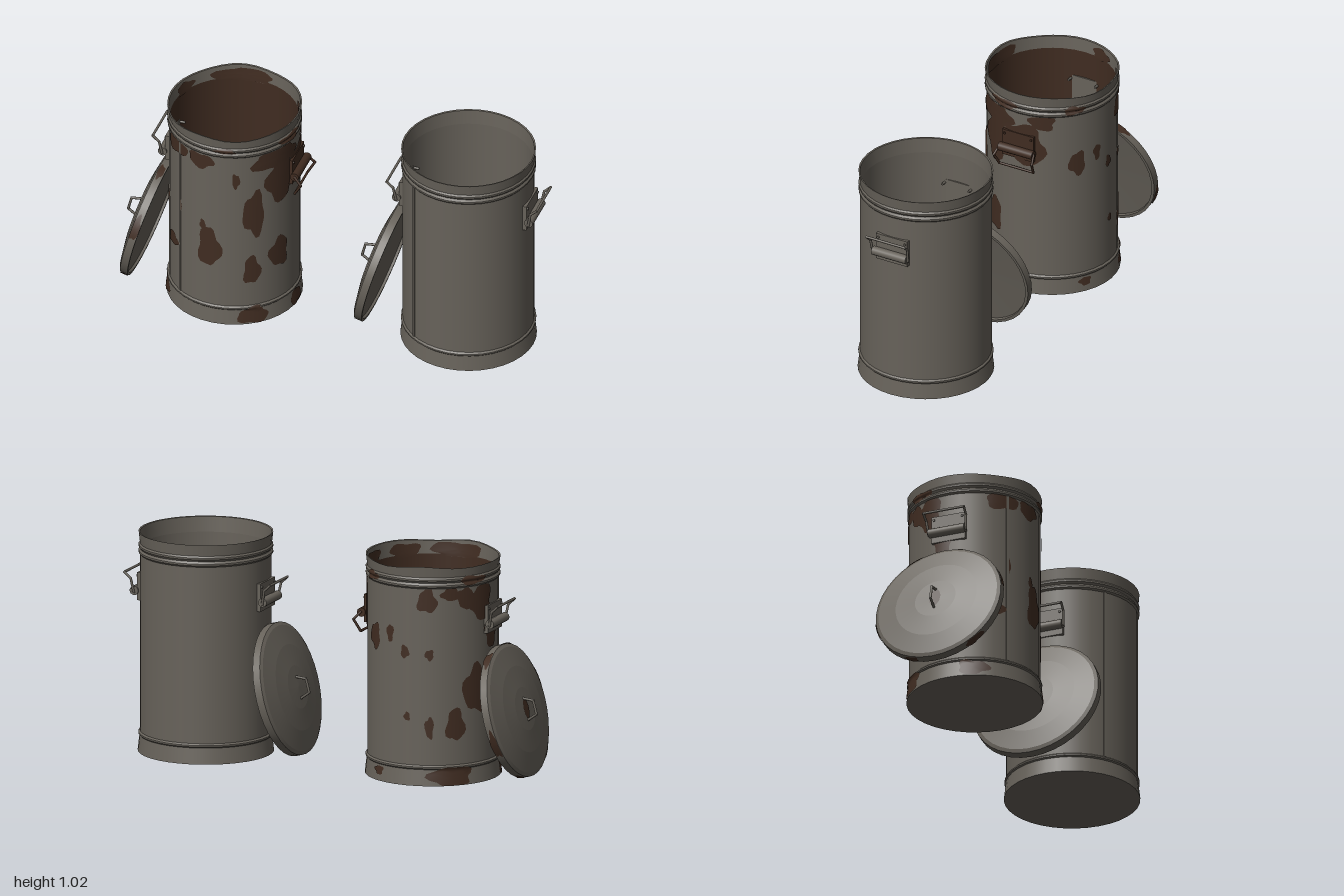
import * as THREE from 'three';

const steel = new THREE.MeshStandardMaterial({ color: 0x67625a, side: THREE.DoubleSide });
steel.name = 'dull steel';
const rust = new THREE.MeshStandardMaterial({ color: 0x402c21, side: THREE.DoubleSide });
rust.name = 'dark rust';

const UP = new THREE.Vector3(0, 1, 0);
const rad = THREE.MathUtils.degToRad;
const SIDES = 36;

// Outer silhouette of the can as [radius, height]
const OUTER = [[0.311, 0], [0.302, 0.075], [0.308, 0.081], [0.308, 0.088], [0.3, 0.095], [0.3, 0.918],
  [0.307, 0.926], [0.307, 0.934], [0.3, 0.944], [0.307, 0.954], [0.307, 0.962], [0.301, 0.97], [0.307, 1.022]];
const LID = [[0.308, 0], [0.308, 0.036], [0.292, 0.044], [0.2, 0.062], [0.1, 0.073], [0, 0.077]];

function add(parent, name, geometry, material) {
  const mesh = new THREE.Mesh(geometry, material);
  mesh.name = name;
  parent.add(mesh);
  return mesh;
}

// Each profile segment is its own lathe ring so that beads and rims stay crisp
function turned(parent, name, profile, material, warp) {
  const group = new THREE.Group();
  group.name = name;
  parent.add(group);
  for (let i = 0; i < profile.length - 1; i++) {
    const pts = [profile[i], profile[i + 1]].map(p => new THREE.Vector2(p[0], p[1]));
    const geometry = new THREE.LatheGeometry(pts, SIDES);
    if (warp) {
      const p = geometry.attributes.position;
      for (let k = 0; k < p.count; k++) p.setY(k, warp(p.getX(k), p.getY(k)));
    }
    add(group, name + 'Ring', geometry, material);
  }
  return group;
}

function radiusAt(profile, y) {
  for (let i = 0; i < profile.length - 1; i++) {
    const [r0, y0] = profile[i], [r1, y1] = profile[i + 1];
    if (y <= y1) return r0 + (r1 - r0) * Math.max(0, (y - y0) / (y1 - y0));
  }
  return profile[profile.length - 1][0];
}

// Ragged rust blot wrapped round a turned surface: angle from the front, height, width, tall
function blot(parent, [deg, y, w, h], radius, low, high) {
  const rings = 5, n = 22, pos = [0, 0], index = [];
  pos.length = 0;
  const place = (u, v) => {
    const yy = THREE.MathUtils.clamp(y + v, low, high), r = radius(yy);
    const a = rad(deg) + u / 0.3;
    pos.push(r * Math.sin(a), yy, r * Math.cos(a));
  };
  place(0, 0);
  for (let k = 1; k <= rings; k++) {
    for (let i = 0; i < n; i++) {
      const t = i / n * Math.PI * 2;
      const wob = 1 + 0.14 * Math.sin(3 * t + deg) + 0.1 * Math.sin(5 * t + deg * 2 + y * 9);
      const s = k / rings * wob / 2;
      place(Math.cos(t) * w * s, Math.sin(t) * h * s);
      const j = (i + 1) % n, b = 1 + (k - 1) * n, c = b - n;
      if (k === 1) index.push(0, b + i, b + j);
      else index.push(c + i, b + i, b + j, c + i, b + j, c + j);
    }
  }
  const geometry = new THREE.BufferGeometry();
  geometry.setAttribute('position', new THREE.Float32BufferAttribute(pos, 3));
  geometry.setIndex(index);
  geometry.computeVertexNormals();
  add(parent, 'rustBlot', geometry, rust);
}

// Bent wire made of straight rods
function wire(parent, name, points, r, material) {
  const v = points.map(p => new THREE.Vector3(...p));
  for (let i = 0; i < v.length - 1; i++) {
    const d = v[i + 1].clone().sub(v[i]);
    const rod = add(parent, name, new THREE.CylinderGeometry(r, r, d.length() + r, 8), material);
    rod.position.copy(v[i]).addScaledVector(d, 0.5);
    rod.quaternion.setFromUnitVectors(UP, d.normalize());
  }
}

// Side handle: wall plate, rolled hinge and wire bail, raised or hanging
function sideHandle(parent, side, hanging, material) {
  const g = new THREE.Group();
  g.name = side > 0 ? 'leftHandle' : 'rightHandle';
  g.rotation.y = side > 0 ? 0 : Math.PI;
  parent.add(g);
  add(g, 'handlePlate', new THREE.BoxGeometry(0.02, 0.13, 0.165), material).position.set(0.296, 0.752, 0);
  const hinge = add(g, 'handleHinge', new THREE.CylinderGeometry(0.021, 0.021, 0.18, 14), material);
  hinge.rotation.x = Math.PI / 2;
  hinge.position.set(0.318, 0.732, 0);
  for (const z of [-0.07, 0.07]) {
    const rivet = add(g, 'rivet', new THREE.CylinderGeometry(0.006, 0.006, 0.05, 8), material);
    rivet.rotation.z = Math.PI / 2;
    rivet.position.set(0.287, 0.8, z);
  }
  const path = hanging
    ? [[0.318, 0.735, -0.09], [0.352, 0.7, -0.1], [0.32, 0.645, -0.09], [0.32, 0.645, 0.09], [0.352, 0.7, 0.1], [0.318, 0.735, 0.09]]
    : [[0.318, 0.725, -0.092], [0.33, 0.79, -0.098], [0.36, 0.818, -0.1], [0.36, 0.818, 0.1], [0.33, 0.79, 0.098], [0.318, 0.725, 0.092]];
  wire(g, 'handleBail', path, 0.006, material);
}

// Domed lid with a rim and a bent wire grip, leaning on the can
function lid(parent, rusty) {
  const g = new THREE.Group();
  g.name = 'lid';
  g.position.set(-0.385, 0.315, 0);
  g.rotation.z = rad(75.3);
  parent.add(g);
  turned(g, 'lidShell', LID, steel);
  turned(g, 'lidUnderside', [[0, 0.02], [0.292, 0.012], [0.294, 0], [0.308, 0]], steel);
  wire(g, 'lidGrip', [[-0.055, 0.07, 0], [-0.035, 0.122, 0], [0.03, 0.122, 0], [0.05, 0.07, 0]], 0.006, steel);
  if (!rusty) return;
  const rimSpots = [[20, 0.02, 0.12, 0.04], [75, 0.02, 0.08, 0.03], [120, 0.02, 0.1, 0.04], [200, 0.02, 0.13, 0.04],
    [250, 0.02, 0.07, 0.03], [310, 0.02, 0.1, 0.04]];
  for (const s of rimSpots) blot(g, s, () => 0.311, 0, 0.036);
  const spot = add(g, 'gripRust', new THREE.CircleGeometry(0.04, 9), rust);
  spot.rotation.x = -Math.PI / 2;
  spot.scale.set(1.2, 0.7, 1);
  spot.position.y = 0.0795;
}

function trashCan(x, rusty) {
  const can = new THREE.Group();
  can.name = rusty ? 'rustyCan' : 'cleanCan';
  can.position.x = x;
  // The rusty rim is slightly bent
  const warp = rusty ? (px, y) => (y > 1 ? y - 0.012 * Math.sin(px * 9 + 0.6) ** 2 : y) : null;
  turned(can, 'body', OUTER, steel, warp);
  turned(can, 'innerRim', [[0.307, 1.022], [0.3, 1.02], [0.294, 0.95]], steel, warp);
  turned(can, 'innerWall', [[0.294, 0.95], [0.294, 0.02]], rusty ? rust : steel);
  turned(can, 'floor', [[0.294, 0.02], [0, 0.02]], rusty ? rust : steel);
  turned(can, 'base', [[0, 0], [0.311, 0]], steel);

  // Vertical sheet seam
  const seam = add(can, 'seam', new THREE.BoxGeometry(0.012, 0.825, 0.006), steel);
  seam.position.set(0.3 * Math.sin(rad(-37)), 0.507, 0.3 * Math.cos(rad(-37)));
  seam.rotation.y = rad(-37);

  sideHandle(can, 1, rusty, rusty ? rust : steel);
  sideHandle(can, -1, false, steel);
  lid(can, rusty);
  return can;
}

// Rust on the outer wall
const WALL_SPOTS = [
  [-42, 0.89, 0.16, 0.09], [-12, 0.88, 0.13, 0.08], [60, 0.88, 0.26, 0.13], [62, 0.74, 0.15, 0.22], [20, 0.79, 0.035, 0.08],
  [36, 0.6, 0.1, 0.24], [-4, 0.41, 0.11, 0.21], [34, 0.29, 0.08, 0.15], [61, 0.35, 0.11, 0.16], [-48, 0.35, 0.09, 0.07],
  [-36, 0.57, 0.02, 0.08], [-62, 0.55, 0.04, 0.09], [-10, 0.53, 0.03, 0.05], [92, 0.76, 0.25, 0.2], [112, 0.89, 0.12, 0.08],
  [143, 0.67, 0.08, 0.12], [178, 0.62, 0.04, 0.06], [180, 0.32, 0.03, 0.04], [163, 0.7, 0.04, 0.08], [198, 0.86, 0.09, 0.11],
  [218, 0.89, 0.08, 0.06], [232, 0.87, 0.08, 0.1], [250, 0.84, 0.14, 0.17], [264, 0.69, 0.1, 0.14], [200, 0.61, 0.04, 0.05],
  [243, 0.44, 0.13, 0.22], [223, 0.28, 0.09, 0.15], [200, 0.27, 0.04, 0.1],
];
// Rust on the base band and the rim
const BAND_SPOTS = [[-68, 0.04, 0.14, 0.08], [35, 0.045, 0.14, 0.09], [84, 0.04, 0.1, 0.08], [219, 0.04, 0.2, 0.1], [150, 0.05, 0.06, 0.04]];
const RIM_SPOTS = [[10, 0.955, 0.1, 0.03], [75, 0.95, 0.16, 0.04], [140, 0.95, 0.1, 0.04], [240, 0.95, 0.14, 0.04]];
// Rust creeping up the inside of the rim
const INNER_SPOTS = [[190, 0.97, 0.3, 0.08], [100, 0.97, 0.22, 0.08], [250, 0.97, 0.12, 0.06], [0, 0.97, 0.26, 0.08], [50, 0.97, 0.16, 0.07]];

export function createModel() {
  const model = new THREE.Group();
  model.name = 'trashCans';
  const rusty = trashCan(-0.49, true);
  const skin = y => radiusAt(OUTER, y) + 0.003;
  for (const s of WALL_SPOTS) blot(rusty, s, skin, 0.1, 0.918);
  for (const s of BAND_SPOTS) blot(rusty, s, skin, 0.002, 0.095);
  for (const s of RIM_SPOTS) blot(rusty, s, skin, 0.92, 1.0);
  const lining = y => 0.29 + Math.max(0, y - 0.95) * 0.08;
  for (const s of INNER_SPOTS) blot(rusty, s, lining, 0.94, 1.005);
  model.add(rusty, trashCan(0.635, false));
  return model;
}
